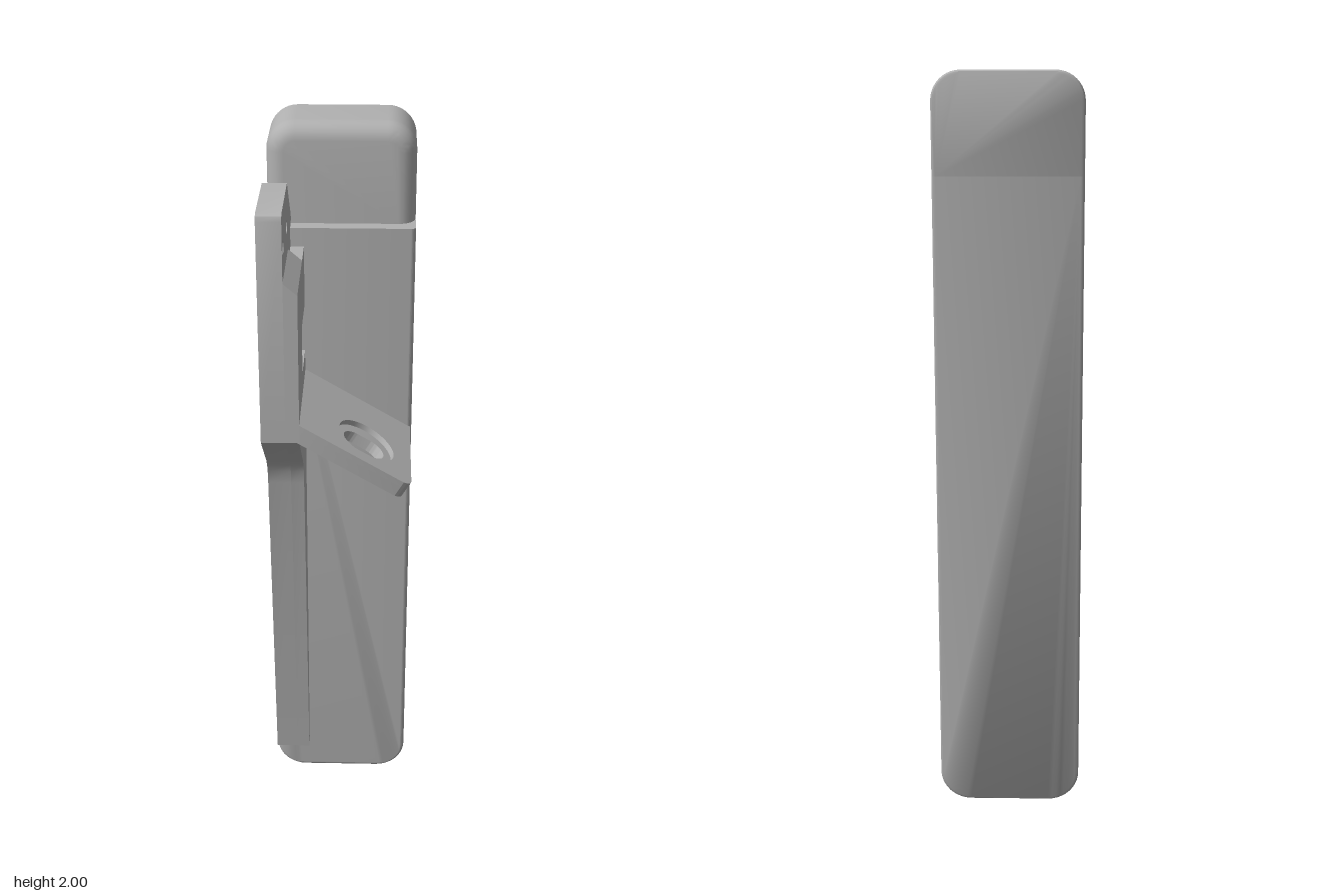
import * as THREE from 'three';
import { toCreasedNormals } from 'three/addons/utils/BufferGeometryUtils.js';

const grey = new THREE.MeshStandardMaterial({ color: 0xb0b0b0 });
grey.name = 'plain grey';

const X0 = -0.195, X1 = 0.19;
const backZ = y => -0.107 - 0.0885 * y;

function mesh(name, geometry, parent) {
  const m = new THREE.Mesh(toCreasedNormals(geometry, 0.5), grey);
  m.name = name;
  parent.add(m);
  return m;
}

// Outline with two rounded corners at one end and a square cut at the other
function outline(inset, yRound, yFlat, radius) {
  const dir = Math.sign(yFlat - yRound);
  const r = radius - inset, a = X0 + inset, b = X1 - inset, y = yRound + dir * inset;
  const pts = [[a, yFlat]];
  for (const [cx, start] of [[a + r, Math.PI], [b - r, 1.5 * Math.PI]]) {
    for (let i = 0; i <= 10; i++) {
      const t = start + i / 10 * Math.PI / 2;
      pts.push([cx + r * Math.cos(t), y + dir * r + dir * r * Math.sin(t)]);
    }
  }
  pts.push([b, yFlat]);
  return dir > 0 ? pts : pts.reverse();
}

// Wedge block: filleted flat front, sloping back with a fine edge
function wedge(yRound, yFlat, radius, frontZ, fillet) {
  const layers = [];
  for (let i = 0; i <= 6; i++) {
    const t = i / 6 * Math.PI / 2;
    layers.push([fillet * (1 - Math.sin(t)), () => frontZ - fillet * (1 - Math.cos(t))]);
  }
  layers.push([0, y => backZ(y) + 0.01], [0.004, y => backZ(y) + 0.003], [0.01, backZ]);
  const pos = [], idx = [];
  let n = 0;
  for (const [inset, z] of layers) {
    const ring = outline(inset, yRound, yFlat, radius);
    n = ring.length;
    for (const [x, y] of ring) pos.push(x, y, z(y));
  }
  for (let k = 0; k < layers.length - 1; k++) {
    for (let i = 0; i < n; i++) {
      const a = k * n + i, b = k * n + (i + 1) % n;
      idx.push(a, a + n, b, b, a + n, b + n);
    }
  }
  const last = (layers.length - 1) * n;
  for (let i = 1; i < n - 1; i++) {
    idx.push(0, i, i + 1, last, last + i + 1, last + i);
  }
  const g = new THREE.BufferGeometry();
  g.setAttribute('position', new THREE.Float32BufferAttribute(pos, 3));
  g.setIndex(idx);
  return g;
}

// Extrudes a (z, y) profile along x
function sidePlate(points, x0, x1, holes = []) {
  const shape = new THREE.Shape(points.map(([z, y]) => new THREE.Vector2(-z, y)));
  for (const [z, y, r] of holes) shape.holes.push(new THREE.Path().absarc(-z, y, r, 0, Math.PI * 2));
  const g = new THREE.ExtrudeGeometry(shape, { depth: x1 - x0, bevelEnabled: false, curveSegments: 16 });
  return g.rotateY(Math.PI / 2).translate(x0, 0, 0);
}

// Shelf layer lying in its own plane: u runs down the slope, w is -z
function shelfLayer(hole, y0, y1) {
  const L = 0.333, front = -0.285, back = 0.065, r = 0.03;
  const s = new THREE.Shape();
  s.moveTo(-0.02, front);
  s.lineTo(L - r, front);
  s.absarc(L - r, front + r, r, -Math.PI / 2, 0);
  s.lineTo(L, back);
  s.lineTo(-0.02, back);
  s.holes.push(hole);
  const g = new THREE.ExtrudeGeometry(s, { depth: y1 - y0, bevelEnabled: false, curveSegments: 24 });
  return g.rotateX(-Math.PI / 2).translate(0, y0, 0);
}

export function createModel() {
  const model = new THREE.Group();
  model.name = 'wedge handle with bracket';

  // Long tapered body and its set-back head
  mesh('lowerBody', wedge(0, 1.74, 0.085, -0.055, 0.012), model);
  mesh('upperBody', wedge(2, 1.74, 0.075, -0.093, 0.045), model);

  const bracket = new THREE.Group();
  bracket.name = 'bracket';
  model.add(bracket);

  // Lower edge shared by both plate layers: slope, soft bend, long leg
  const lowerEdge = [[0.285, 1.295], [0.125, 1.16], [0.103, 1.135], [0.09, 1.11], [0.081, 1.07],
    [-0.028, 0.095], [-0.07, 0.095]];

  // Outer plate with two screw holes
  mesh('outerPlate', sidePlate([[-0.07, 1.73], [-0.1, 1.757], [0.045, 1.89], [0.268, 1.89],
    [0.28, 1.885], [0.285, 1.873], ...lowerEdge], X0, -0.133,
  [[0.24, 1.795, 0.018], [0.093, 1.795, 0.018]]), bracket);

  // Inner thickening with a notch at the rear
  mesh('innerPlate', sidePlate([[-0.07, 1.69], [0.285, 1.69], ...lowerEdge,
    [-0.07, 1.4], [0.095, 1.4], [0.095, 1.53], [-0.07, 1.53]], -0.133, -0.098), bracket);

  // Sloping cap over the thickening
  const cap = new THREE.Shape([[-0.133, 1.69], [-0.098, 1.69], [-0.133, 1.72]]
    .map(p => new THREE.Vector2(...p)));
  mesh('chamferCap', new THREE.ExtrudeGeometry(cap, { depth: 0.238, bevelEnabled: false })
    .translate(0, 0, 0.047), bracket);

  // Tilted shelf: round recess above a slotted hole
  const shelf = new THREE.Group();
  shelf.name = 'shelf';
  shelf.position.set(-0.1, 1.345, 0);
  shelf.rotation.z = -Math.atan2(0.17, 0.285);
  bracket.add(shelf);
  const u = 0.198, w = -0.165;
  const recess = new THREE.Path().absarc(u, w, 0.082, 0, Math.PI * 2);
  const slot = new THREE.Path();
  slot.absarc(u + 0.018, w, 0.042, -Math.PI / 2, Math.PI / 2);
  slot.absarc(u - 0.018, w, 0.042, Math.PI / 2, Math.PI * 1.5);
  slot.closePath();
  mesh('shelfTop', shelfLayer(recess, -0.015, 0), shelf);
  mesh('shelfBase', shelfLayer(slot, -0.045, -0.015), shelf);

  return model;
}
